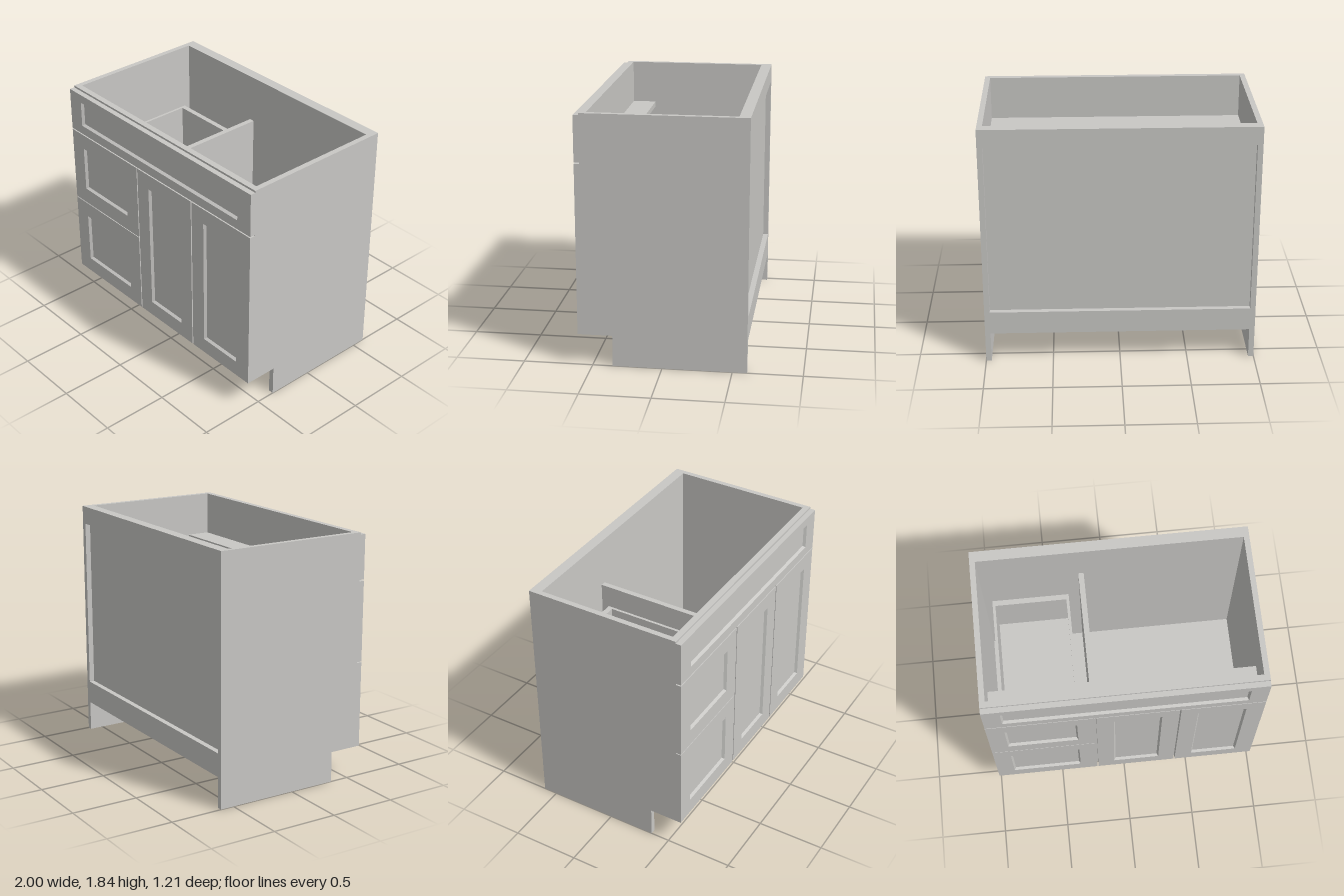
import * as THREE from 'three';

export function createModel() {
  const group = new THREE.Group();
  const paint = new THREE.MeshStandardMaterial({ color: 0xc8c7c4 });
  paint.name = 'warm grey paint';

  const add = (name, geometry) => {
    const mesh = new THREE.Mesh(geometry, paint);
    mesh.name = name;
    group.add(mesh);
    return mesh;
  };
  // Box given by its limits on each axis
  const box = (name, x0, x1, y0, y1, z0, z1) => {
    const g = new THREE.BoxGeometry(x1 - x0, y1 - y0, z1 - z0);
    g.translate((x0 + x1) / 2, (y0 + y1) / 2, (z0 + z1) / 2);
    return add(name, g);
  };

  const BACK = -0.605, CASE = 0.565, FRONT = 0.605, TOP = 1.835, T = 0.04;

  // Side panels with a toe-kick notch
  const outline = [[BACK, 0], [0.355, 0], [0.355, 0.23], [CASE, 0.23], [CASE, TOP], [BACK, TOP]];
  for (const [name, x] of [['rightSide', -1], ['leftSide', 1 - T]]) {
    const shape = new THREE.Shape(outline.map(([z, y]) => new THREE.Vector2(-z, y)));
    const g = new THREE.ExtrudeGeometry(shape, { depth: T, bevelEnabled: false });
    g.rotateY(Math.PI / 2);
    g.translate(x, 0, 0);
    add(name, g);
  }

  // Carcass
  const W = 1 - T;
  box('bottomPanel', -W, W, 0.23, 0.27, BACK, CASE);
  box('backPanel', -W, W, 0.27, TOP, BACK + T, BACK + 2 * T);
  box('backTopRail', -W, W, 1.7, TOP, BACK, BACK + T);
  box('backBottomRail', -W, W, 0.27, 0.405, BACK, BACK + T);
  box('frontTopRail', -W, W, 1.47, TOP, 0.52, CASE);
  box('frontStretcher', -W, W, 1.47, 1.51, 0.34, 0.52);
  box('partition', -0.235, -0.195, 0.27, 1.47, BACK + 2 * T, CASE);

  // Drawer boxes
  for (const [name, y0, y1] of [['lowerDrawer', 0.35, 0.76], ['upperDrawer', 0.98, 1.37]]) {
    box(name + 'RightWall', -0.885, -0.865, y0, y1, -0.41, CASE);
    box(name + 'LeftWall', -0.34, -0.32, y0, y1, -0.41, CASE);
    box(name + 'BackWall', -0.865, -0.34, y0, y1, -0.41, -0.37);
    box(name + 'Floor', -0.865, -0.34, y0, y0 + 0.02, -0.37, CASE);
  }

  // Front with a recessed, bevelled centre panel, lofted through rectangular rings
  const panelFront = (name, [x0, x1, y0, y1], [a0, a1, b0, b1]) => {
    const ring = (l, r, b, t, z) => [[l, b, z], [r, b, z], [r, t, z], [l, t, z]];
    const e = 0.012;
    const rings = [
      ring(x0, x1, y0, y1, CASE),
      ring(x0, x1, y0, y1, FRONT),
      ring(a0, a1, b0, b1, FRONT),
      ring(a0 + e, a1 - e, b0 + e, b1 - e, FRONT - 0.02),
    ];
    const pos = [];
    const quad = (a, b, c, d) => pos.push(...a, ...b, ...c, ...a, ...c, ...d);
    for (let k = 0; k < rings.length - 1; k++) {
      for (let i = 0; i < 4; i++) {
        const j = (i + 1) % 4;
        quad(rings[k][i], rings[k][j], rings[k + 1][j], rings[k + 1][i]);
      }
    }
    quad(...rings[3]);
    quad(...rings[0].slice().reverse());
    const g = new THREE.BufferGeometry();
    g.setAttribute('position', new THREE.Float32BufferAttribute(pos, 3));
    g.computeVertexNormals();
    add(name, g);
  };

  panelFront('topFalseFront', [-1, 1, 1.49, 1.82], [-0.87, 0.87, 1.56, 1.755]);
  panelFront('upperDrawerFront', [-1, -0.22, 0.88, 1.48], [-0.87, -0.35, 1.005, 1.36]);
  panelFront('lowerDrawerFront', [-1, -0.22, 0.23, 0.873], [-0.87, -0.35, 0.35, 0.75]);
  panelFront('middleDoor', [-0.211, 0.386, 0.23, 1.48], [-0.087, 0.262, 0.35, 1.36]);
  panelFront('leftDoor', [0.396, 1, 0.23, 1.48], [0.52, 0.87, 0.35, 1.36]);

  return group;
}
